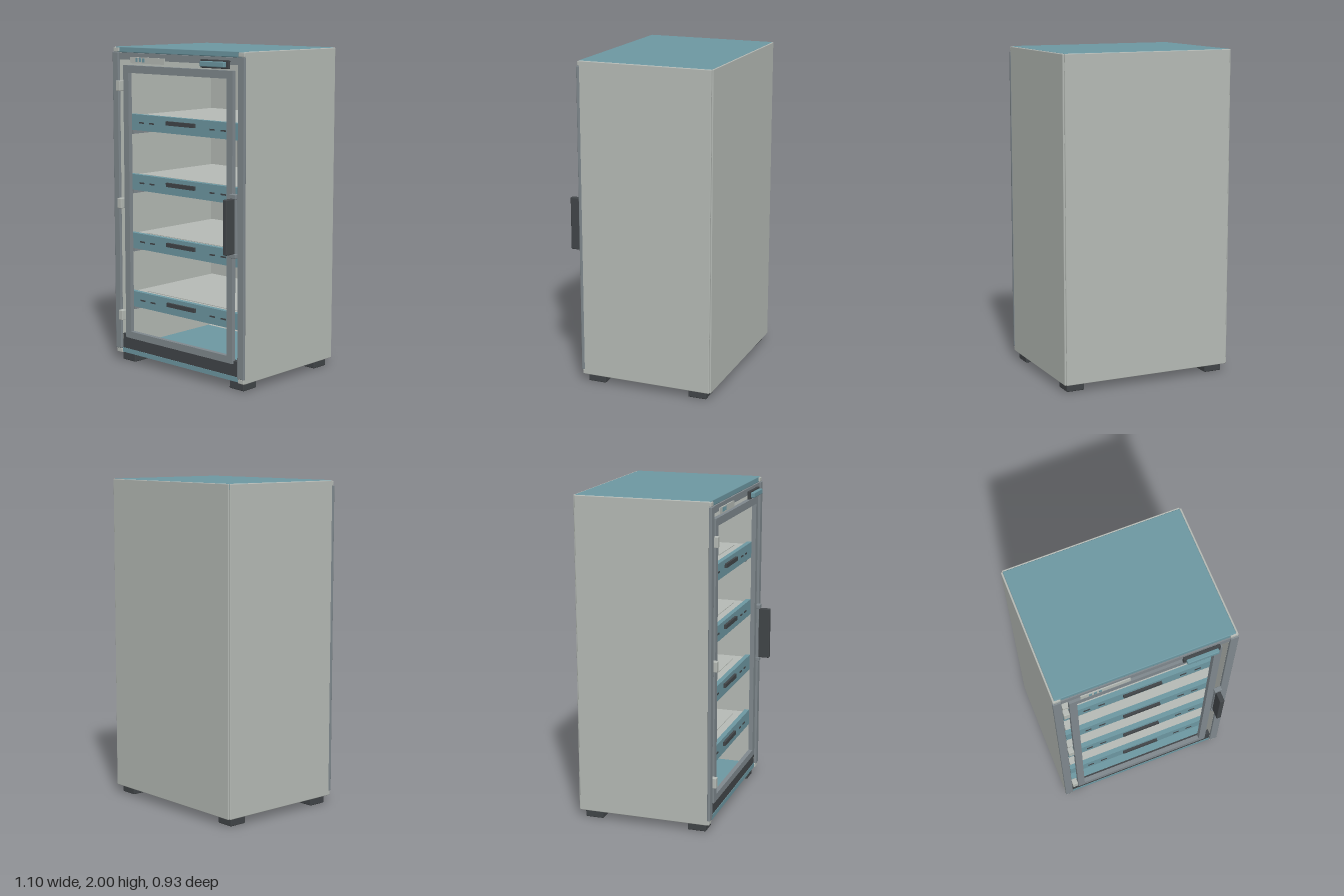
import * as THREE from 'three';
import { RoundedBoxGeometry } from 'three/addons/geometries/RoundedBoxGeometry.js';

const mat = (name, color) => {
  const m = new THREE.MeshStandardMaterial({ color });
  m.name = name;
  return m;
};

export function createModel() {
  const root = new THREE.Group();
  root.name = 'displayCabinet';
  const shell = mat('paleGrey', 0xb5bab5);
  const teal = mat('mutedTeal', 0x6d97a1);
  const trim = mat('slateGrey', 0x7f888d);
  const dark = mat('charcoal', 0x414548);

  // Box given by its extents on each axis, optionally with rounded edges
  const box = (name, material, [x0, x1], [y0, y1], [z0, z1], r = 0, parent = root) => {
    const s = [x1 - x0, y1 - y0, z1 - z0];
    const geo = r ? new RoundedBoxGeometry(...s, 2, r) : new THREE.BoxGeometry(...s);
    const mesh = new THREE.Mesh(geo, material);
    mesh.name = name;
    mesh.position.set((x0 + x1) / 2, (y0 + y1) / 2, (z0 + z1) / 2);
    parent.add(mesh);
    return mesh;
  };
  // Range mirrored to the chosen side
  const side = (s, a, b) => (s > 0 ? [a, b] : [-b, -a]);

  // Cabinet shell
  for (const s of [-1, 1]) {
    box('sidePanel', shell, side(s, 0.535, 0.547), [0.05, 1.998], [-0.457, 0.365], 0.005);
    box('sideLiner', shell, side(s, 0.5, 0.536), [0.052, 1.966], [-0.455, 0.362]);
    box('frontPost', trim, side(s, 0.5, 0.55), [0.08, 1.967], [0.36, 0.379], 0.004);
    box('postCap', shell, side(s, 0.5, 0.547), [1.968, 1.994], [0.355, 0.373], 0.004);
    box('postFoot', shell, side(s, 0.5, 0.547), [0.052, 0.08], [0.355, 0.373], 0.004);
  }
  box('backPanel', shell, [-0.537, 0.537], [0.05, 1.998], [-0.465, -0.455], 0.004);
  box('topPanel', teal, [-0.536, 0.536], [1.965, 2], [-0.456, 0.365], 0.005);
  box('basePanel', teal, [-0.5, 0.5], [0.056, 0.085], [-0.43, 0.365]);
  box('rearBaseRail', shell, [-0.5, 0.5], [0.052, 0.085], [-0.456, -0.43]);
  box('kickPanel', dark, [-0.5, 0.5], [0.078, 0.178], [0.33, 0.362]);
  box('headerRail', trim, [-0.5, 0.5], [1.922, 1.964], [0.33, 0.371]);

  // Feet
  for (const s of [-1, 1])
    for (const z of [[0.23, 0.345], [-0.43, -0.315]])
      box('foot', dark, side(s, 0.408, 0.522), [0, 0.055], z, 0.006);

  // Control strip and display
  box('controlStrip', shell, [-0.39, -0.095], [1.902, 1.94], [0.371, 0.378]);
  for (const x of [-0.333, -0.303, -0.273])
    box('indicator', teal, [x - 0.008, x + 0.008], [1.911, 1.935], [0.378, 0.381]);
  box('displayBezel', dark, [0.215, 0.438], [1.898, 1.948], [0.371, 0.389], 0.004);
  box('displayScreen', teal, [0.231, 0.422], [1.907, 1.939], [0.387, 0.413], 0.005);

  // Open door frame
  const door = new THREE.Group();
  door.name = 'door';
  root.add(door);
  const rect = (Cls, w, y0, y1) => {
    const p = new Cls();
    p.moveTo(-w, y0).lineTo(w, y0).lineTo(w, y1).lineTo(-w, y1).closePath();
    return p;
  };
  const outline = rect(THREE.Shape, 0.457, 0.162, 1.888);
  outline.holes.push(rect(THREE.Path, 0.412, 0.205, 1.842));
  const frame = new THREE.Mesh(new THREE.ExtrudeGeometry(outline, { depth: 0.028, bevelEnabled: false }), trim);
  frame.name = 'doorFrame';
  frame.position.z = 0.348;
  door.add(frame);

  // Hinges
  for (const y of [0.305, 1.025, 1.76])
    box('hinge', shell, [-0.5, -0.465], [y - 0.032, y + 0.032], [0.36, 0.4], 0.004, door);

  // Door handle
  for (const y of [0.818, 1.167])
    box('handleBracket', trim, [0.453, 0.501], [y - 0.014, y + 0.014], [0.37, 0.398], 0.004, door);
  box('handleMount', trim, [0.458, 0.497], [0.81, 1.175], [0.37, 0.392], 0, door);
  box('handleGrip', dark, [0.461, 0.491], [0.83, 1.156], [0.388, 0.463], 0.006, door);

  // Pull-out drawers
  [0.36, 0.737, 1.11, 1.486].forEach((y) => {
    const drawer = new THREE.Group();
    drawer.name = 'drawer';
    root.add(drawer);
    box('drawerFront', teal, [-0.487, 0.482], [y, y + 0.099], [0.3, 0.33], 0, drawer);
    box('tray', shell, [-0.475, 0.475], [y + 0.03, y + 0.085], [-0.44, 0.3], 0, drawer);
    box('trayMat', shell, [-0.4, 0.4], [y + 0.085, y + 0.089], [-0.38, 0.24], 0, drawer);
    box('drawerPull', dark, [-0.121, 0.117], [y + 0.049, y + 0.074], [0.33, 0.345], 0, drawer);
    for (const s of [-1, 1]) {
      box('runner', trim, side(s, 0.455, 0.5), [y - 0.03, y + 0.03], [-0.44, 0.298], 0, drawer);
      for (const x of [0.255, 0.345])
        box('slot', dark, [s * x - 0.02, s * x + 0.02], [y + 0.044, y + 0.053], [0.33, 0.334], 0, drawer);
    }
  });
  return root;
}
